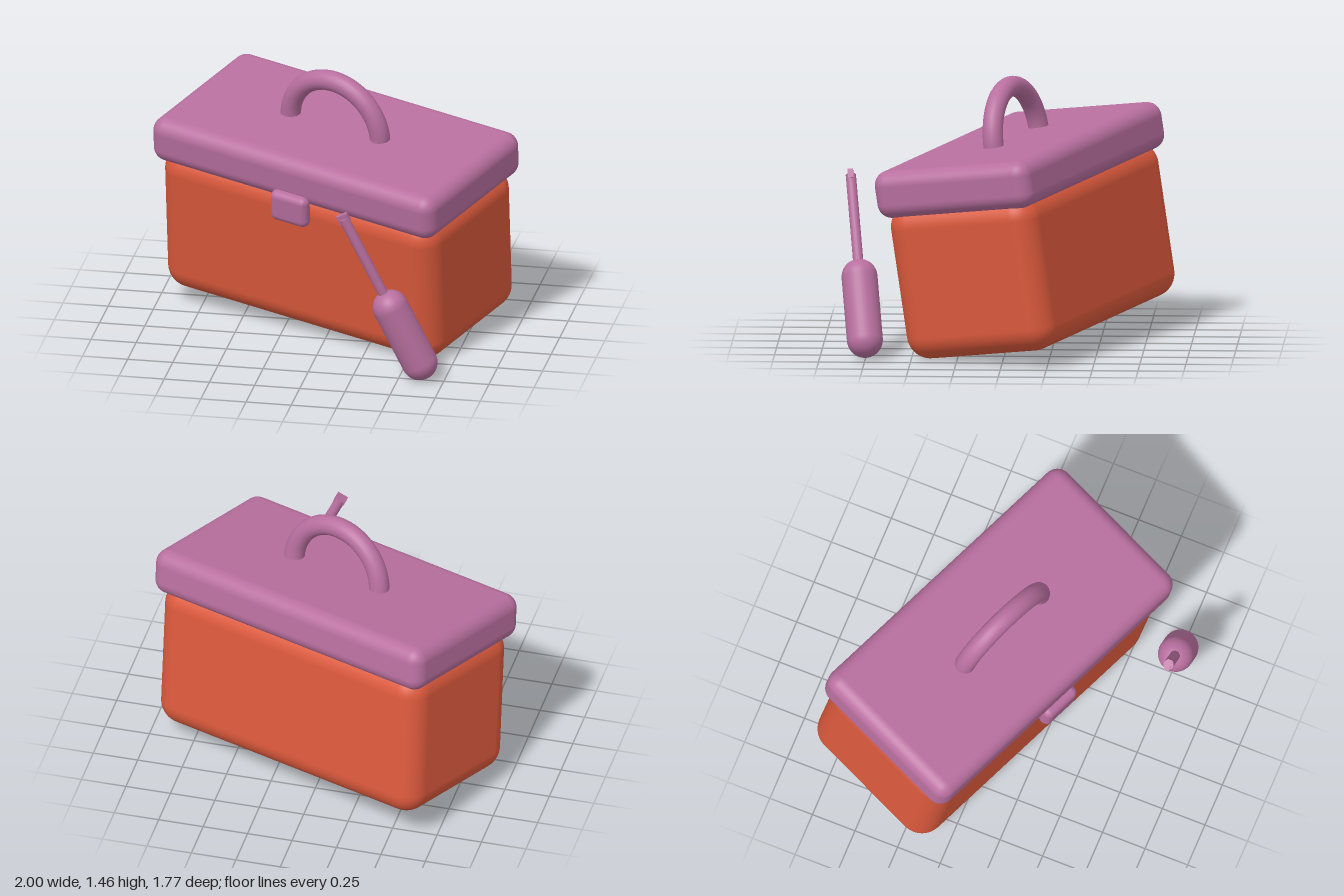
import * as THREE from 'three';
import { RoundedBoxGeometry } from 'three/addons/geometries/RoundedBoxGeometry.js';

export function createModel() {
  const model = new THREE.Group();
  model.name = 'toolboxWithScrewdriver';

  const orange = new THREE.MeshStandardMaterial({ color: 0xdb593c });
  orange.name = 'orange';
  const mauve = new THREE.MeshStandardMaterial({ color: 0xb86f9f });
  mauve.name = 'mauve';

  function add(parent, name, geometry, material, x, y, z) {
    const mesh = new THREE.Mesh(geometry, material);
    mesh.name = name;
    mesh.position.set(x, y, z);
    parent.add(mesh);
    return mesh;
  }

  // Toolbox, turned and tipped forward
  const toolbox = new THREE.Group();
  toolbox.name = 'toolbox';
  toolbox.rotation.set(THREE.MathUtils.degToRad(8.3), THREE.MathUtils.degToRad(-22.6), 0);
  toolbox.position.set(0, 0.03, -0.205);
  model.add(toolbox);

  add(toolbox, 'body', new RoundedBoxGeometry(1.775, 0.86, 0.885, 8, 0.13), orange, 0, 0.49, 0);
  add(toolbox, 'lid', new RoundedBoxGeometry(1.83, 0.26, 0.94, 8, 0.08), mauve, 0, 0.99, 0);
  add(toolbox, 'latch', new RoundedBoxGeometry(0.235, 0.18, 0.08, 6, 0.038), mauve, 0.01, 0.84, 0.475);
  add(toolbox, 'carryHandle', new THREE.TorusGeometry(0.29, 0.056, 20, 48, Math.PI), mauve, 0, 1.105, 0);

  // Screwdriver, modelled along +y and leaned into place
  const gripEnd = new THREE.Vector3(0.617, 0.108, 0.753);
  const tip = new THREE.Vector3(0.21, 0.965, 0.848);
  const direction = tip.clone().sub(gripEnd);
  const length = direction.length();
  const screwdriver = new THREE.Group();
  screwdriver.name = 'screwdriver';
  screwdriver.position.copy(gripEnd);
  screwdriver.quaternion.setFromUnitVectors(new THREE.Vector3(0, 1, 0), direction.normalize());
  model.add(screwdriver);

  const gripLength = 0.36;
  add(screwdriver, 'grip', new THREE.CapsuleGeometry(0.098, gripLength, 12, 32), mauve, 0, gripLength / 2, 0);
  const shaftLength = length - gripLength;
  add(screwdriver, 'shaft', new THREE.CylinderGeometry(0.028, 0.028, shaftLength, 20), mauve, 0, gripLength + shaftLength / 2 - 0.01, 0);
  add(screwdriver, 'blade', new THREE.BoxGeometry(0.062, 0.05, 0.03), mauve, 0, length - 0.01, 0);

  return model;
}
